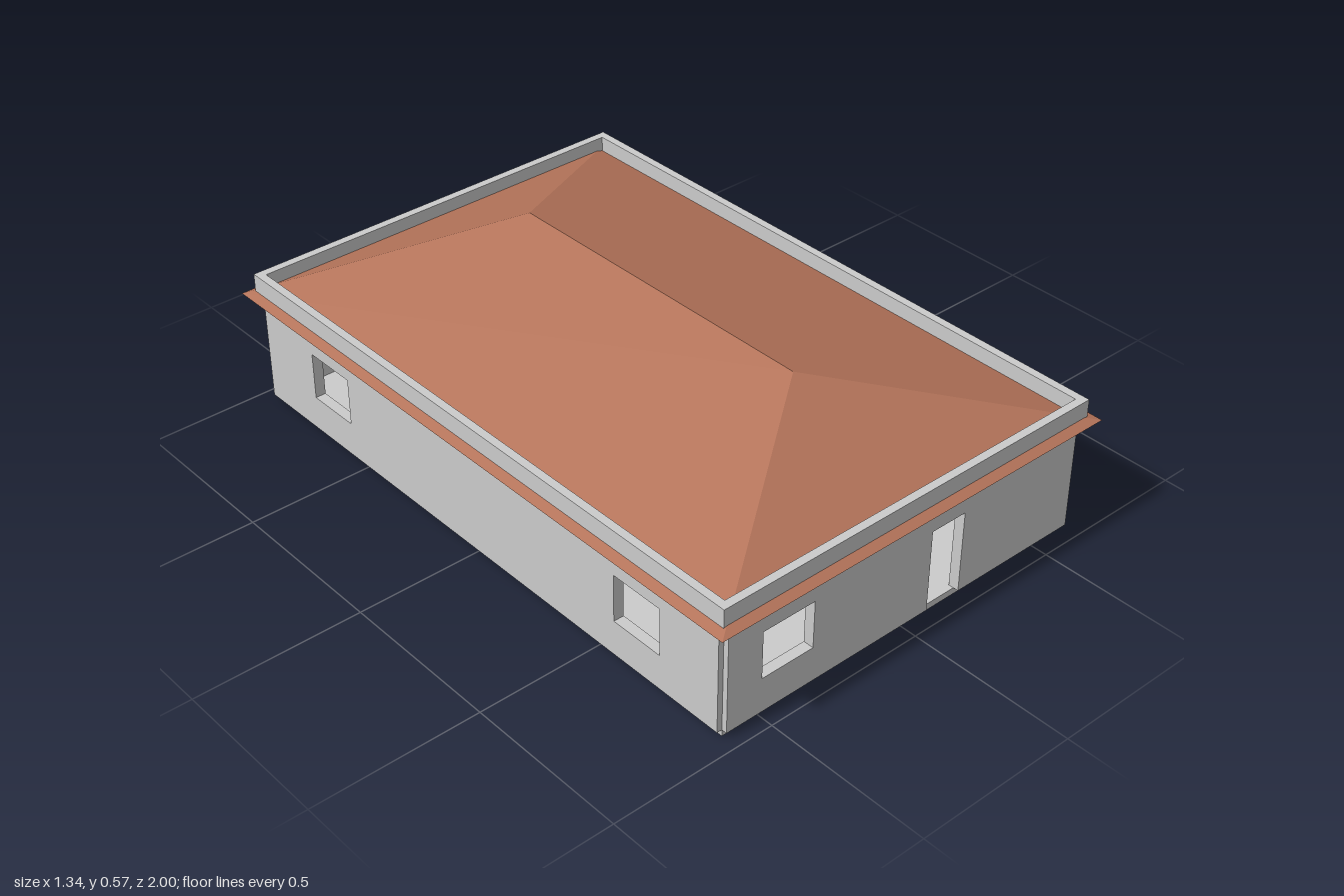
import * as THREE from 'three';

const grey = new THREE.MeshStandardMaterial({ color: 0xcccccc, flatShading: true });
const tile = new THREE.MeshStandardMaterial({ color: 0xb5745a, flatShading: true, side: THREE.DoubleSide });

const HX = 0.616, HZ = 0.948;          // half size of the slab and wall centre lines
const FLOOR = 0.02, EAVES = 0.356, T = 0.032;

function rect(path, x0, y0, x1, y1) {
  path.moveTo(x0, y0);
  path.lineTo(x1, y0);
  path.lineTo(x1, y1);
  path.lineTo(x0, y1);
  path.closePath();
  return path;
}

function addMesh(parent, name, geometry, material) {
  const mesh = new THREE.Mesh(geometry, material);
  mesh.name = name;
  parent.add(mesh);
  return mesh;
}

// Upright wall panel drawn in (u, y); window openings start at the given u values
function wallPanel(half, windows, door) {
  const s = new THREE.Shape();
  s.moveTo(-half, FLOOR);
  if (door) {
    s.lineTo(door[0], FLOOR);
    s.lineTo(door[0], 0.272);
    s.lineTo(door[1], 0.272);
    s.lineTo(door[1], FLOOR);
  }
  s.lineTo(half, FLOOR);
  s.lineTo(half, EAVES);
  s.lineTo(-half, EAVES);
  s.closePath();
  for (const u of windows) s.holes.push(rect(new THREE.Path(), u, 0.127, u + 0.17, 0.272));
  const g = new THREE.ExtrudeGeometry(s, { depth: T, bevelEnabled: false });
  return g.translate(0, 0, -T / 2);
}

export function createModel() {
  const house = new THREE.Group();
  house.name = 'house';

  // Floor slab, slightly inside the wall faces
  addMesh(house, 'floorSlab', new THREE.BoxGeometry(2 * HX, FLOOR, 2 * HZ).translate(0, FLOOR / 2, 0), grey);

  // Outer walls, centred on the slab edge so the corners stay notched
  addMesh(house, 'frontWall', wallPanel(HX, [-0.503], [0.077, 0.195]), grey).position.z = HZ;
  addMesh(house, 'backWall', wallPanel(HX, [-0.49, 0.245]), grey).position.z = -HZ;
  // After a quarter turn, u runs along -z
  const sides = [['leftWall', HX, [-0.225, 0.53]], ['rightWall', -HX, [-0.74, 0.55]]];
  for (const [name, x, windows] of sides) {
    const wall = addMesh(house, name, wallPanel(HZ, windows), grey);
    wall.position.x = x;
    wall.rotation.y = Math.PI / 2;
  }

  // Inner partitions
  const h = EAVES - FLOOR, z = 0.11;
  addMesh(house, 'crossPartition', new THREE.BoxGeometry(HX, h, T)
    .translate(-HX / 2, FLOOR + h / 2, z - T / 2), grey);
  addMesh(house, 'longPartition', new THREE.BoxGeometry(T, h, HZ + z)
    .translate(0, FLOOR + h / 2, (z - HZ) / 2), grey);

  // Hipped roof: a rectangular eaves line rising to a ridge along z
  const c = [
    [-0.67, EAVES, 1], [0.67, EAVES, 1], [0.67, EAVES, -1], [-0.67, EAVES, -1],
    [0, 0.567, 0.53], [0, 0.567, -0.53],
  ];
  const faces = [0, 1, 4, 1, 2, 5, 1, 5, 4, 2, 3, 5, 3, 0, 4, 3, 4, 5];
  const roof = new THREE.BufferGeometry();
  roof.setAttribute('position', new THREE.Float32BufferAttribute(faces.flatMap(i => c[i]), 3));
  roof.computeVertexNormals();
  addMesh(house, 'hippedRoof', roof, tile);

  // Parapet ring standing on the roof edge
  const ring = rect(new THREE.Shape(), -0.641, -0.973, 0.641, 0.973);
  ring.holes.push(rect(new THREE.Path(), -0.616, -0.948, 0.616, 0.948));
  const parapet = new THREE.ExtrudeGeometry(ring, { depth: 0.058, bevelEnabled: false });
  parapet.rotateX(-Math.PI / 2).translate(0, 0.362, 0);
  addMesh(house, 'parapet', parapet, grey);

  return house;
}
